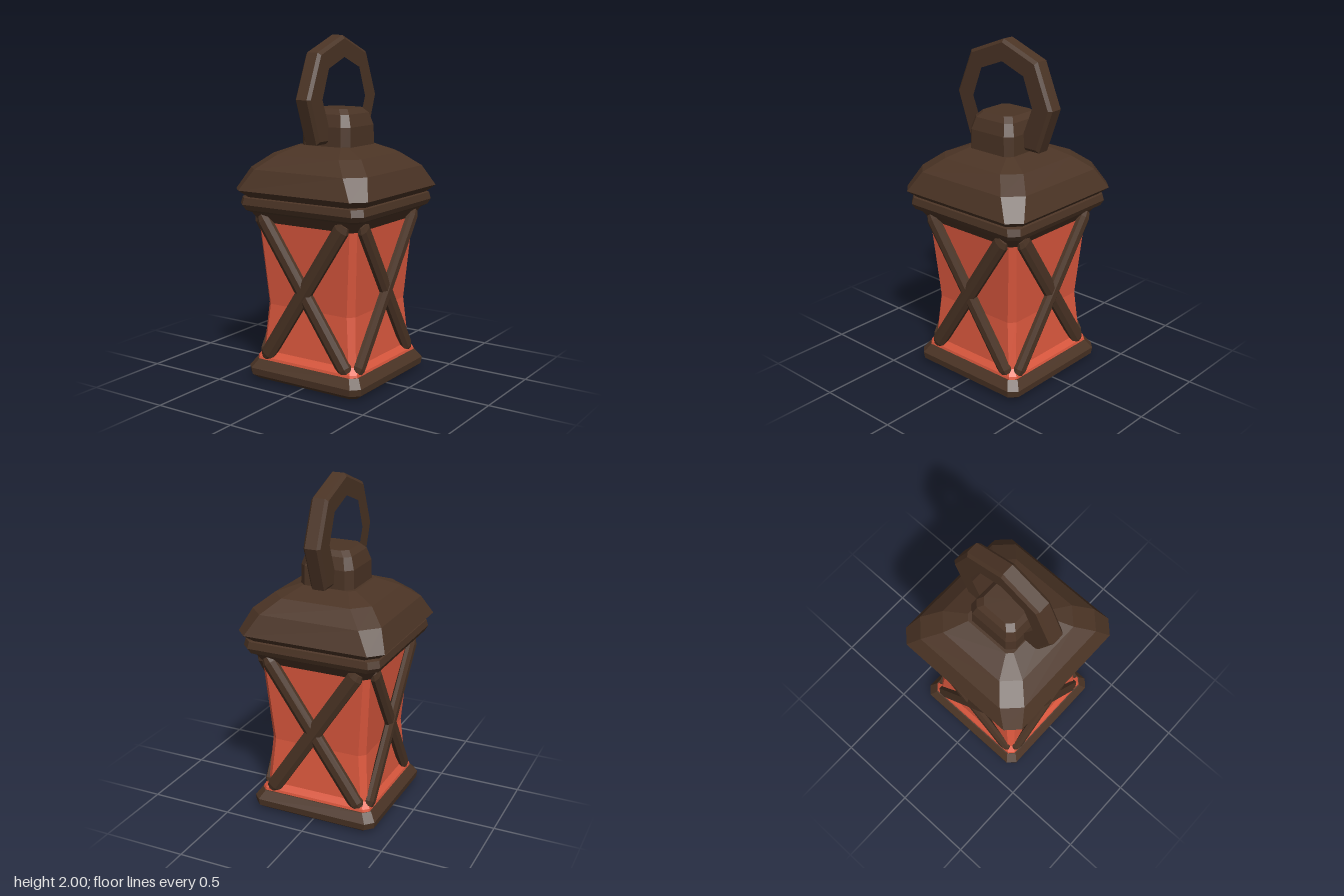
import * as THREE from 'three';

const metal = new THREE.MeshStandardMaterial({ color: 0x4b3425, flatShading: true });
const glass = new THREE.MeshStandardMaterial({ color: 0xdc583e, flatShading: true });

// Solid of stacked squares with cut corners; each section is [y, half width, corner cut]
function squareStack(name, sections, material) {
  const pos = [];
  const rings = sections.map(([y, h, c]) => {
    const k = h - c;
    return [[h, -k], [h, k], [k, h], [-k, h], [-h, k], [-h, -k], [-k, -h], [k, -h]]
      .map(([x, z]) => [x, y, z]);
  });
  const tri = (a, b, c) => pos.push(...a, ...b, ...c);
  const first = rings[0], last = rings[rings.length - 1];
  for (let i = 0; i < 8; i++) {
    const n = (i + 1) % 8;
    for (let j = 0; j < rings.length - 1; j++) {
      const lo = rings[j], hi = rings[j + 1];
      tri(lo[i], hi[i], lo[n]);
      tri(lo[n], hi[i], hi[n]);
    }
    tri([0, first[0][1], 0], first[i], first[n]);
    tri([0, last[0][1], 0], last[n], last[i]);
  }
  const geo = new THREE.BufferGeometry();
  geo.setAttribute('position', new THREE.Float32BufferAttribute(pos, 3));
  geo.computeVertexNormals();
  const mesh = new THREE.Mesh(geo, material);
  mesh.name = name;
  return mesh;
}

// Flattened eight-sided bar with tapered ends, running between two points
function crossBar(from, to) {
  const dir = to.clone().sub(from), half = dir.length() / 2, r = 0.046;
  const profile = [[0, -half], [r * 0.65, -half], [r, -half + 0.035],
    [r, half - 0.035], [r * 0.65, half], [0, half]].map(p => new THREE.Vector2(...p));
  const geo = new THREE.LatheGeometry(profile, 8, Math.PI / 8);
  geo.scale(1.06, 1, 0.64);
  const bar = new THREE.Mesh(geo, metal);
  // Local y runs along the bar, local z faces outward
  const y = dir.normalize();
  const x = y.clone().cross(new THREE.Vector3(0, 0, 1)).normalize();
  const z = x.clone().cross(y);
  bar.quaternion.setFromRotationMatrix(new THREE.Matrix4().makeBasis(x, y, z));
  bar.position.copy(from).add(to).multiplyScalar(0.5);
  return bar;
}

// Faceted carrying ring, cut out of a plate with bevelled edges
function handleRing() {
  const mirrored = (pts) => [...pts, ...pts.slice().reverse().filter(p => p[0] > 0).map(([x, y]) => [-x, y])]
    .map(p => new THREE.Vector2(...p));
  const shape = new THREE.Shape(mirrored([[0, 2], [0.245, 1.905], [0.352, 1.65], [0.26, 1.395]]));
  shape.holes.push(new THREE.Path(mirrored([[0, 1.895], [0.17, 1.83], [0.24, 1.645], [0.17, 1.47]])));
  const geo = new THREE.ExtrudeGeometry(shape, {
    depth: 0.07, bevelEnabled: true, bevelThickness: 0.016,
    bevelSize: 0.018, bevelOffset: -0.018, bevelSegments: 1,
  });
  geo.translate(0, 0, -0.035);
  geo.rotateY(Math.PI / 2);
  const ring = new THREE.Mesh(geo, metal);
  ring.name = 'handleRing';
  return ring;
}

export function createModel() {
  const lantern = new THREE.Group();
  lantern.name = 'lantern';

  lantern.add(squareStack('base', [
    [0, 0.345, 0.03], [0.03, 0.385, 0.045], [0.07, 0.39, 0.045], [0.12, 0.355, 0.04],
  ], metal));

  // Waisted glass body
  lantern.add(squareStack('glass', [
    [0.11, 0.35, 0.03], [0.135, 0.345, 0.03], [0.17, 0.322, 0.03], [0.45, 0.3, 0.035], [0.97, 0.338, 0.03],
  ], glass));

  lantern.add(squareStack('collar', [
    [0.94, 0.335, 0.03], [1.0, 0.375, 0.04], [1.015, 0.405, 0.05],
    [1.045, 0.42, 0.05], [1.085, 0.412, 0.05], [1.095, 0.39, 0.05],
  ], metal));

  lantern.add(squareStack('roof', [
    [1.085, 0.395, 0.06], [1.13, 0.448, 0.073], [1.25, 0.395, 0.095],
    [1.33, 0.3, 0.09], [1.38, 0.17, 0.03],
  ], metal));

  const knob = squareStack('knob', [
    [1.36, 0.165, 0.04], [1.49, 0.162, 0.04], [1.56, 0.14, 0.035], [1.59, 0.112, 0.035],
  ], metal);
  knob.position.x = 0.01;
  lantern.add(knob, handleRing());

  // Crossed bars on the four sides
  for (let side = 0; side < 4; side++) {
    const cross = new THREE.Group();
    cross.name = 'crossBars' + (side + 1);
    for (const s of [-1, 1]) {
      const bar = crossBar(
        new THREE.Vector3(-s * 0.285, 0.125, 0.325 + s * 0.002),
        new THREE.Vector3(s * 0.285, 0.985, 0.354 + s * 0.002));
      bar.name = s < 0 ? 'barFalling' : 'barRising';
      cross.add(bar);
    }
    cross.rotation.y = side * Math.PI / 2;
    lantern.add(cross);
  }
  return lantern;
}
